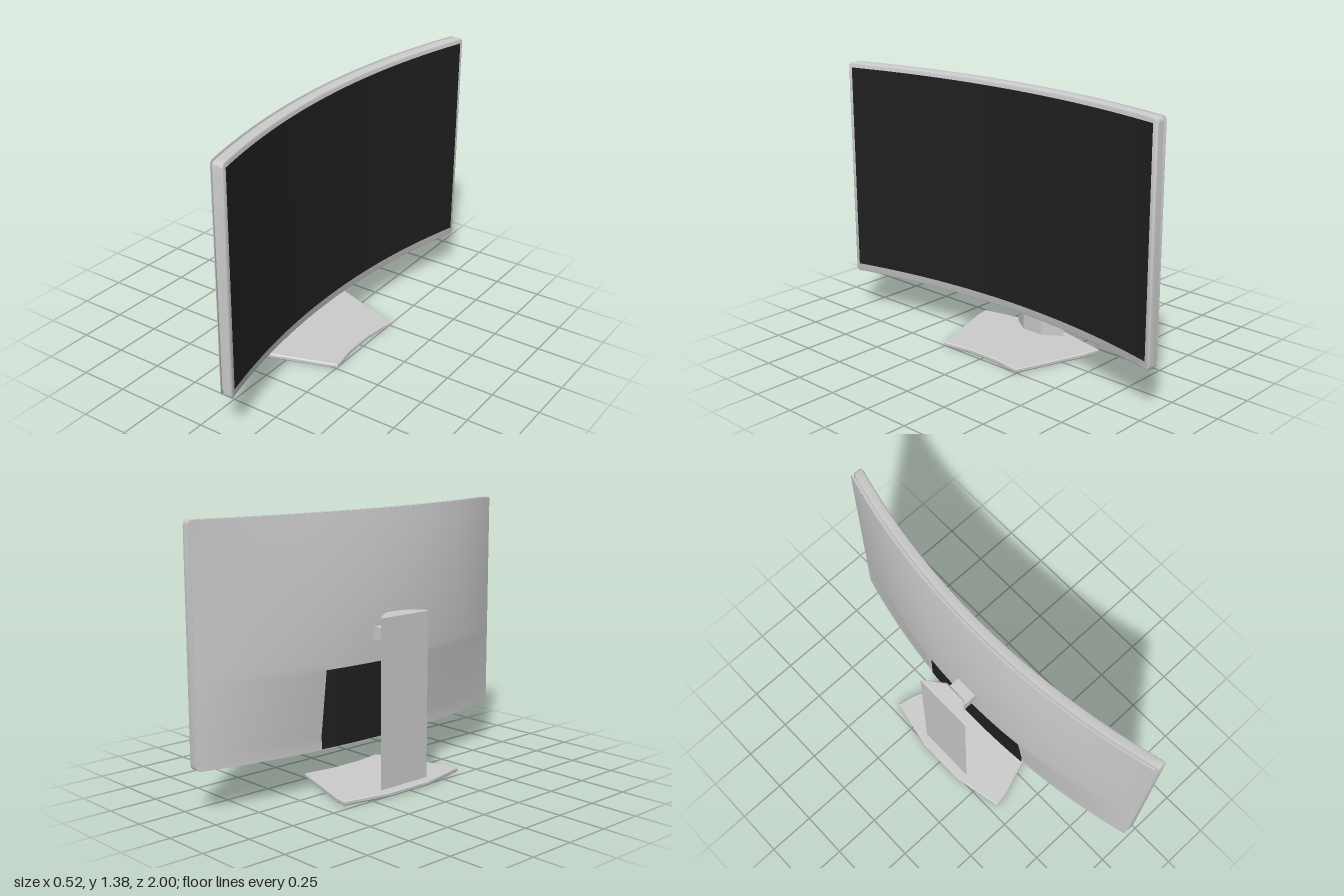
import * as THREE from 'three';
import { toCreasedNormals } from 'three/addons/utils/BufferGeometryUtils.js';

const Y0 = 0.22, Y1 = 1.385;
const grey = new THREE.MeshStandardMaterial({ color: 0xcccccc, side: THREE.DoubleSide });
const black = new THREE.MeshStandardMaterial({ color: 0x202020, side: THREE.DoubleSide });

// Horizontal curve of the display: forward offset at a given z
const arc = (z) => 3.77 - Math.sqrt(3.77 * 3.77 - z * z);

// Skin a list of cross-sections; closed sections get end caps
function loft(sections, closed = true, crease = 0.5) {
  const n = sections[0].length, pos = sections.flat(2), index = [];
  for (let i = 0; i < sections.length - 1; i++) {
    for (let j = 0; j < (closed ? n : n - 1); j++) {
      const k = (j + 1) % n;
      const a = i * n + j, b = i * n + k, c = b + n, d = a + n;
      index.push(a, b, c, a, c, d);
    }
  }
  if (closed) {
    const e = (sections.length - 1) * n;
    for (let j = 1; j < n - 1; j++) index.push(0, j + 1, j, e, e + j, e + j + 1);
  }
  const g = new THREE.BufferGeometry();
  g.setAttribute('position', new THREE.Float32BufferAttribute(pos, 3));
  g.setIndex(index);
  return toCreasedNormals(g, crease);
}

const range = (a, b, n) => Array.from({ length: n + 1 }, (_, i) => a + (b - a) * i / n);

// Stations along z, with a few extra ones in the rounded ends
function stations(half, r) {
  const ends = range(0, 1, 4).map((t) => half - r + r * Math.sin(t * Math.PI / 2));
  const mid = range(-half + r, half - r, 40).slice(1, -1);
  return [...ends.map((z) => -z).reverse(), ...mid, ...ends];
}

// How far the top and bottom edges pull in at a rounded corner
function cornerInset(z, half, r) {
  const t = Math.max(0, Math.abs(z) - (half - r));
  return r - Math.sqrt(Math.max(0, r * r - t * t));
}

// Curved slab with rounded corners and chamfered front edges
function slab(x0, x1, inset, r, soft) {
  const half = 1 - inset;
  return loft(stations(half, r).map((z) => {
    const c = cornerInset(z, half, r), o = arc(z);
    const lo = Y0 + inset + c, hi = Y1 - inset - c;
    const front = x1 - soft * cornerInset(z, half, r) / r;
    return [[x0, lo], [front - soft, lo], [front - soft * 0.3, lo + soft * 0.3], [front, lo + soft],
      [front, hi - soft], [front - soft * 0.3, hi - soft * 0.3], [front - soft, hi], [x0, hi]]
      .map(([x, y]) => [x + o, y, z]);
  }));
}

// Curved rectangular sheet
function sheet(x, y0, y1, half) {
  return loft(range(-half, half, 32).map((z) => [[x + arc(z), y0, z], [x + arc(z), y1, z]]), false);
}

// Domed rear cover with a recess at its lower middle
function rearCover() {
  const zs = [...stations(1, 0.015), -0.351, -0.35, 0.35, 0.351].sort((a, b) => a - b);
  const vs = [...range(Y1, 0.632, 20), 0.63, ...range(0.6, Y0, 10)];
  return loft(zs.map((z) => {
    const c = cornerInset(z, 1, 0.015);
    return vs.map((v) => {
      const y = Math.min(Y1 - c, Math.max(Y0 + c, v));
      const fy = v < 0.632 ? Math.max(0, 0.96 * (v - 0.25) / 0.38) : 1 - ((v - 0.75) / 0.635) ** 2;
      const fz = 1 - Math.abs(z) ** 2.5;
      const recess = Math.abs(z) < 0.3505 && v < 0.631;
      return [arc(z) - 0.003 - (recess ? 0 : 0.054 * fy * fz), y, z];
    });
  }), false);
}

export function createModel() {
  const model = new THREE.Group();
  const add = (name, geometry, material = grey) => {
    const mesh = new THREE.Mesh(geometry, material);
    mesh.name = name;
    model.add(mesh);
    return mesh;
  };

  // Display
  add('bezel', slab(0.015, 0.065, 0, 0.02, 0.012));
  add('seamCore', slab(-0.001, 0.016, 0.012, 0.015, 0.001));
  add('rearRim', slab(-0.003, 0.001, 0, 0.015, 0.001));
  add('rearCover', rearCover());
  add('screen', sheet(0.0665, 0.265, 1.36, 0.975), black);
  add('portPanel', sheet(-0.007, 0.225, 0.629, 0.349), black);

  // Stand column: trapezoid section, slightly deeper toward the top
  const section = (y, front, s = 0) => [
    [front - s, y, 0.062 - s], [front - s, y, -0.062 + s],
    [-0.215 + s, y, -0.16 + s], [-0.215 + s, y, 0.16 - s]];
  add('standColumn', loft([section(0.02, -0.15), section(0.885, -0.13), section(0.892, -0.13, 0.006)]));

  // Arm between column and display
  add('mountArm', new THREE.BoxGeometry(0.1, 0.065, 0.124)).position.set(-0.09, 0.78, 0);

  // Faceted base plate, mirrored across z
  const side = [[-0.265, 0.13], [-0.21, 0.4], [-0.13, 0.385], [0.26, 0.25], [0.235, 0.09]];
  const outline = [...side, ...side.map(([x, z]) => [x, -z]).reverse()];
  const shape = new THREE.Shape(outline.map(([x, z]) => new THREE.Vector2(x, z)));
  const base = new THREE.ExtrudeGeometry(shape, {
    depth: 0.013, bevelThickness: 0.006, bevelSize: 0.006, bevelOffset: -0.006, bevelSegments: 1 });
  base.rotateX(-Math.PI / 2).translate(0, 0.006, 0);
  add('basePlate', base);

  return model;
}
